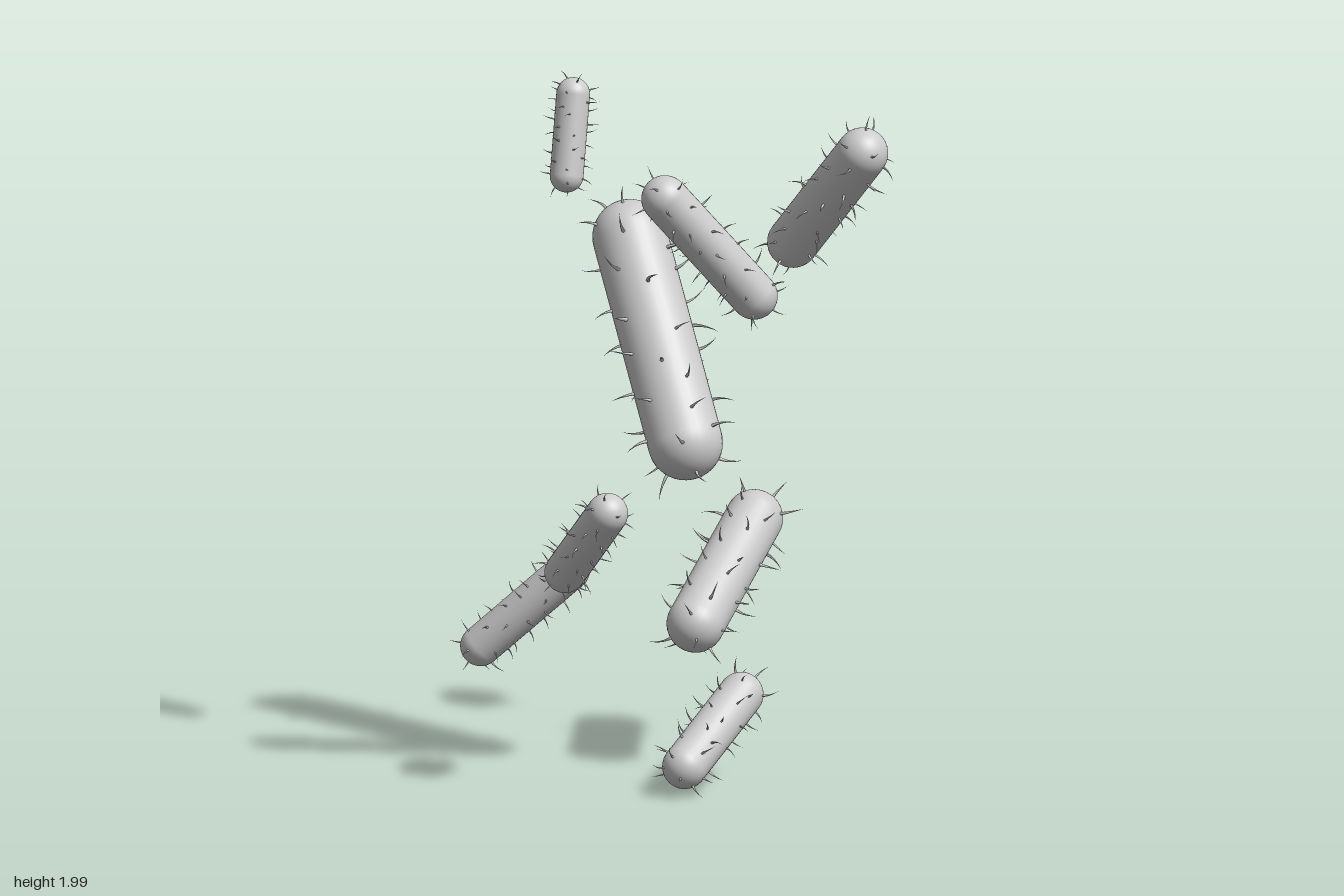
import * as THREE from 'three';
import { mergeGeometries } from 'three/addons/utils/BufferGeometryUtils.js';

const UP = new THREE.Vector3(0, 1, 0);

// Small seeded generator for the bristle scatter
let seed = 7;
function rand() {
  seed = (seed * 16807) % 2147483647;
  return seed / 2147483647;
}

// One curved, tapering bristle of unit length growing along +y
function bristleGeometry() {
  const geo = new THREE.ConeGeometry(0.085, 1.1, 6, 5, true).translate(0, 0.45, 0);
  const pos = geo.attributes.position;
  for (let i = 0; i < pos.count; i++) {
    const y = Math.max(0, pos.getY(i));
    pos.setX(i, pos.getX(i) + 0.4 * y * y);
  }
  geo.computeVertexNormals();
  return geo;
}

// Bristles spread evenly over a capsule standing on the y axis
function bristleCoat(r, length, count) {
  const base = bristleGeometry();
  const list = [];
  const half = length / 2;
  for (let i = 0; i < count; i++) {
    const s = ((i + 0.2 + 0.6 * rand()) / count * 2 - 1) * (half + r);
    const core = THREE.MathUtils.clamp(s, -half, half);
    const ny = (s - core) / r;
    const a = i * 2.39996 + rand() * 0.8;
    const ring = Math.sqrt(Math.max(0, 1 - ny * ny));
    const n = new THREE.Vector3(ring * Math.cos(a), ny, ring * Math.sin(a));
    const q = new THREE.Quaternion().setFromUnitVectors(UP, n);
    q.multiply(new THREE.Quaternion().setFromAxisAngle(UP, rand() * Math.PI * 2));
    const size = r * (0.5 + 0.25 * rand());
    const p = n.clone().multiplyScalar(r).setY(core + n.y * r);
    const m = new THREE.Matrix4().compose(p, q, new THREE.Vector3(size, size, size));
    list.push(base.clone().applyMatrix4(m));
  }
  return mergeGeometries(list);
}

// Each rod: radius, upper cap centre, lower cap centre
const RODS = [
  ['largeRod', 0.105, [-0.137, 1.5, -0.09], [0.166, 0.978, 0.105]],
  ['smallTopRod', 0.047, [-0.172, 1.94, 0.153], [-0.164, 1.717, 0.2]],
  ['upperBackRod', 0.072, [0.45, 1.75, -0.372], [0.165, 1.455, -0.464]],
  ['upperFrontRod', 0.066, [0.322, 1.742, 0.463], [0.485, 1.45, 0.255]],
  ['middleFrontRod', 0.058, [0.136, 0.832, 0.468], [-0.086, 0.622, 0.333]],
  ['lowerBackRod', 0.081, [0.045, 0.662, -0.452], [0.087, 0.428, -0.076]],
  ['lowerRightRod', 0.057, [-0.27, 0.559, 0.014], [-0.506, 0.335, 0.104]],
  ['bottomRod', 0.063, [0.277, 0.257, -0.01], [0.27, 0.098, 0.275]],
];

export function createModel() {
  seed = 7;
  const model = new THREE.Group();
  model.name = 'bristledRods';
  const material = new THREE.MeshStandardMaterial({ color: 0xcccccc });

  for (const [name, r, top, bottom] of RODS) {
    const a = new THREE.Vector3(...top);
    const b = new THREE.Vector3(...bottom);
    const axis = a.clone().sub(b);
    const length = axis.length();

    const rod = new THREE.Group();
    rod.name = name;
    rod.position.copy(a).add(b).multiplyScalar(0.5);
    rod.quaternion.setFromUnitVectors(UP, axis.normalize());

    // Smooth round-ended body
    const body = new THREE.Mesh(new THREE.CapsuleGeometry(r, length, 12, 32), material);
    body.name = 'body';

    // Coat of curved bristles
    const bristles = new THREE.Mesh(bristleCoat(r, length, 44), material);
    bristles.name = 'bristles';

    rod.add(body, bristles);
    model.add(rod);
  }
  return model;
}
